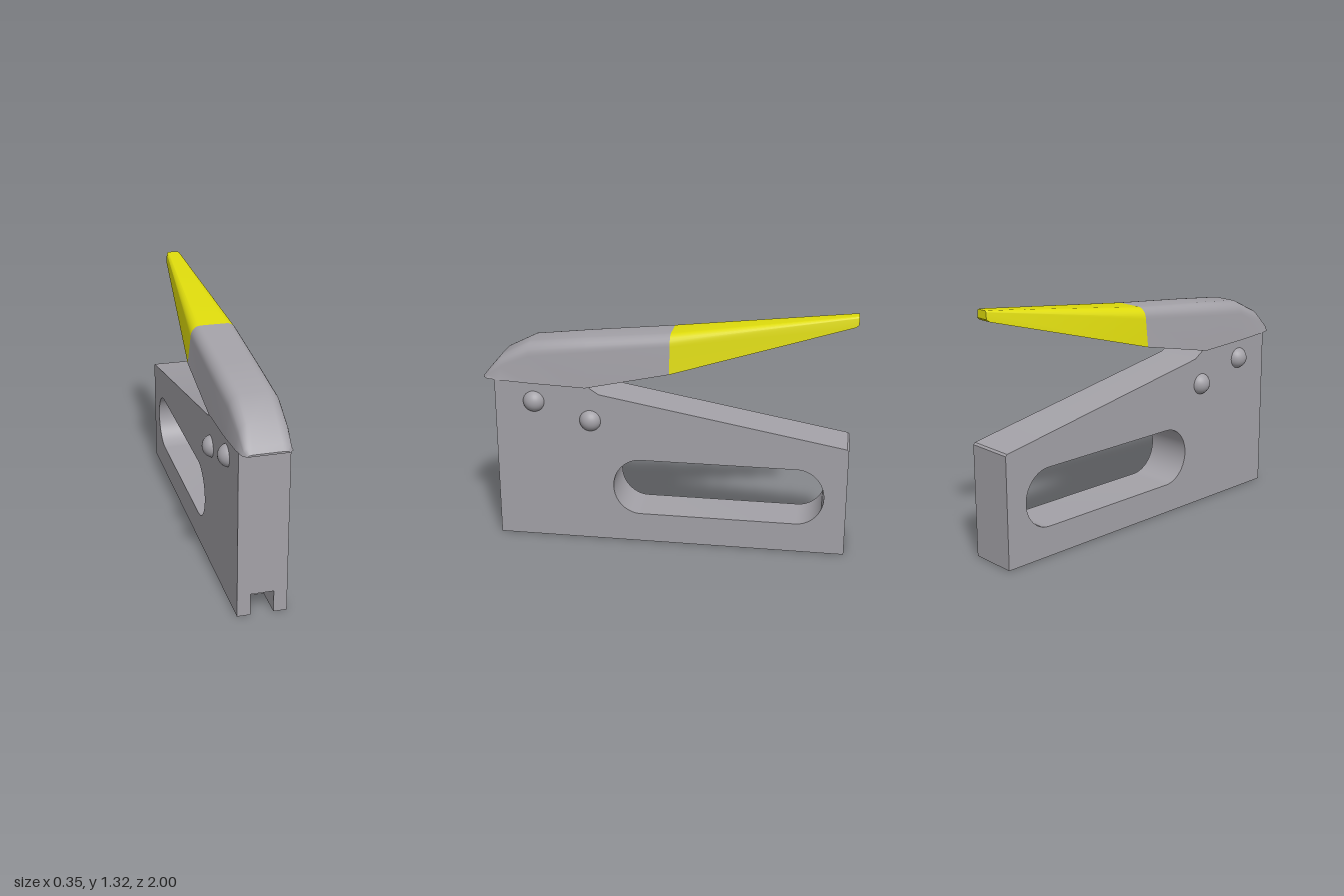
import * as THREE from 'three';
import { toCreasedNormals } from 'three/addons/utils/BufferGeometryUtils.js';

const steel = new THREE.MeshStandardMaterial({ name: 'grey steel', color: 0xa3a1a7 });
const grip = new THREE.MeshStandardMaterial({ name: 'yellow grip', color: 0xdedb0c });

function mesh(name, geometry, material) {
  const m = new THREE.Mesh(geometry, material);
  m.name = name;
  return m;
}

// Half outline of the lever at one station, mirrored into a closed section:
// sloping sides with rounded shoulders and a flat underside.
function section({ z, bottom, top, wBottom, wSide, round }) {
  const h = top - bottom;
  const dy = Math.min(round * 1.1, h * 0.6);
  const half = [[wBottom, bottom]];
  const n = 6;
  for (let i = 0; i <= n; i++) {
    const a = (i / n) * Math.PI / 2;
    half.push([wSide - round + round * Math.cos(a), top - dy + dy * Math.sin(a)]);
  }
  const mirrored = half.map(([x, y]) => [-x, y]).reverse();
  return [...half, ...mirrored].map(([x, y]) => new THREE.Vector3(x, y, z));
}

// Skins a run of sections, ordered from front to back
function loft(stations, capFront, capBack) {
  const rings = stations.map(section);
  const n = rings[0].length;
  const points = [];
  const tri = (a, b, c) => points.push(a, b, c);
  for (let i = 0; i < rings.length - 1; i++) {
    for (let j = 0; j < n; j++) {
      const k = (j + 1) % n;
      const p = rings[i], q = rings[i + 1];
      tri(p[j], q[j], p[k]);
      tri(p[k], q[j], q[k]);
    }
  }
  const first = rings[0], last = rings[rings.length - 1];
  for (let j = 1; j < n - 1; j++) {
    if (capFront) tri(first[0], first[j], first[j + 1]);
    if (capBack) tri(last[0], last[j + 1], last[j]);
  }
  const g = new THREE.BufferGeometry().setFromPoints(points);
  return toCreasedNormals(g, 0.6);
}

// Side outline (z, y) of the body with the hand slot
function bodyGeometry(halfWidth, notchDepth, notchHeight) {
  const front = 0.935;
  const shape = new THREE.Shape();
  shape.moveTo(-0.985, 0);
  shape.lineTo(front - notchDepth, 0);
  shape.lineTo(front - notchDepth, notchHeight);
  shape.lineTo(front, notchHeight);
  shape.lineTo(front, 0.912);
  shape.lineTo(0.42, 0.892);
  shape.lineTo(0.36, 0.852);
  shape.lineTo(-0.975, 0.616);
  shape.lineTo(-0.985, 0.606);
  shape.closePath();

  const slot = new THREE.Path();
  slot.absellipse(0.135, 0.325, 0.15, 0.16, Math.PI / 2, -Math.PI / 2, true);
  slot.absellipse(-0.715, 0.325, 0.15, 0.16, -Math.PI / 2, Math.PI / 2, true);
  slot.closePath();
  shape.holes.push(slot);

  const g = new THREE.ExtrudeGeometry(shape, {
    depth: halfWidth * 2, bevelEnabled: false, curveSegments: 20,
  });
  g.translate(0, 0, -halfWidth);
  g.rotateY(-Math.PI / 2);
  return toCreasedNormals(g, 0.5);
}

export function createModel() {
  const model = new THREE.Group();
  model.name = 'stapleGun';

  // Body, with two prongs flanking the staple outlet
  const halfWidth = 0.13, notchDepth = 0.17, notchHeight = 0.12, notchHalf = 0.06;
  model.add(mesh('body', bodyGeometry(halfWidth, notchDepth, notchHeight), steel));
  const prongWidth = halfWidth - notchHalf;
  for (const [side, label] of [[1, 'left'], [-1, 'right']]) {
    const prong = mesh(label + 'Prong', new THREE.BoxGeometry(prongWidth, notchHeight, notchDepth), steel);
    prong.position.set(side * (notchHalf + prongWidth / 2), notchHeight / 2, 0.935 - notchDepth / 2);
    model.add(prong);

    // Round rivet heads
    for (const [name, y, z] of [['FrontRivet', 0.795, 0.72], ['RearRivet', 0.7, 0.41]]) {
      const rivet = mesh(label + name, new THREE.SphereGeometry(0.061, 28, 18), steel);
      rivet.position.set(side * 0.114, y, z);
      model.add(rivet);
    }
  }

  // Lever: steel hood over the body, then the tapering coloured grip
  const join = { z: -0.025, bottom: 0.99, top: 1.198, wBottom: 0.144, wSide: 0.127, round: 0.055 };
  const hood = [
    { z: 1.0, bottom: 0.912, top: 0.922, wBottom: 0.105, wSide: 0.1, round: 0.03 },
    { z: 0.975, bottom: 0.911, top: 0.953, wBottom: 0.127, wSide: 0.119, round: 0.045 },
    { z: 0.9, bottom: 0.908, top: 1.04, wBottom: 0.137, wSide: 0.125, round: 0.058 },
    { z: 0.74, bottom: 0.902, top: 1.12, wBottom: 0.145, wSide: 0.13, round: 0.065 },
    { z: 0.43, bottom: 0.89, top: 1.154, wBottom: 0.145, wSide: 0.13, round: 0.063 },
    join,
  ];
  const handle = [
    join,
    { z: -0.985, bottom: 1.262, top: 1.318, wBottom: 0.043, wSide: 0.04, round: 0.012 },
    { z: -1.0, bottom: 1.275, top: 1.318, wBottom: 0.036, wSide: 0.034, round: 0.01 },
  ];
  model.add(mesh('leverHood', loft(hood, true, false), steel));
  model.add(mesh('leverGrip', loft(handle, false, true), grip));
  return model;
}
